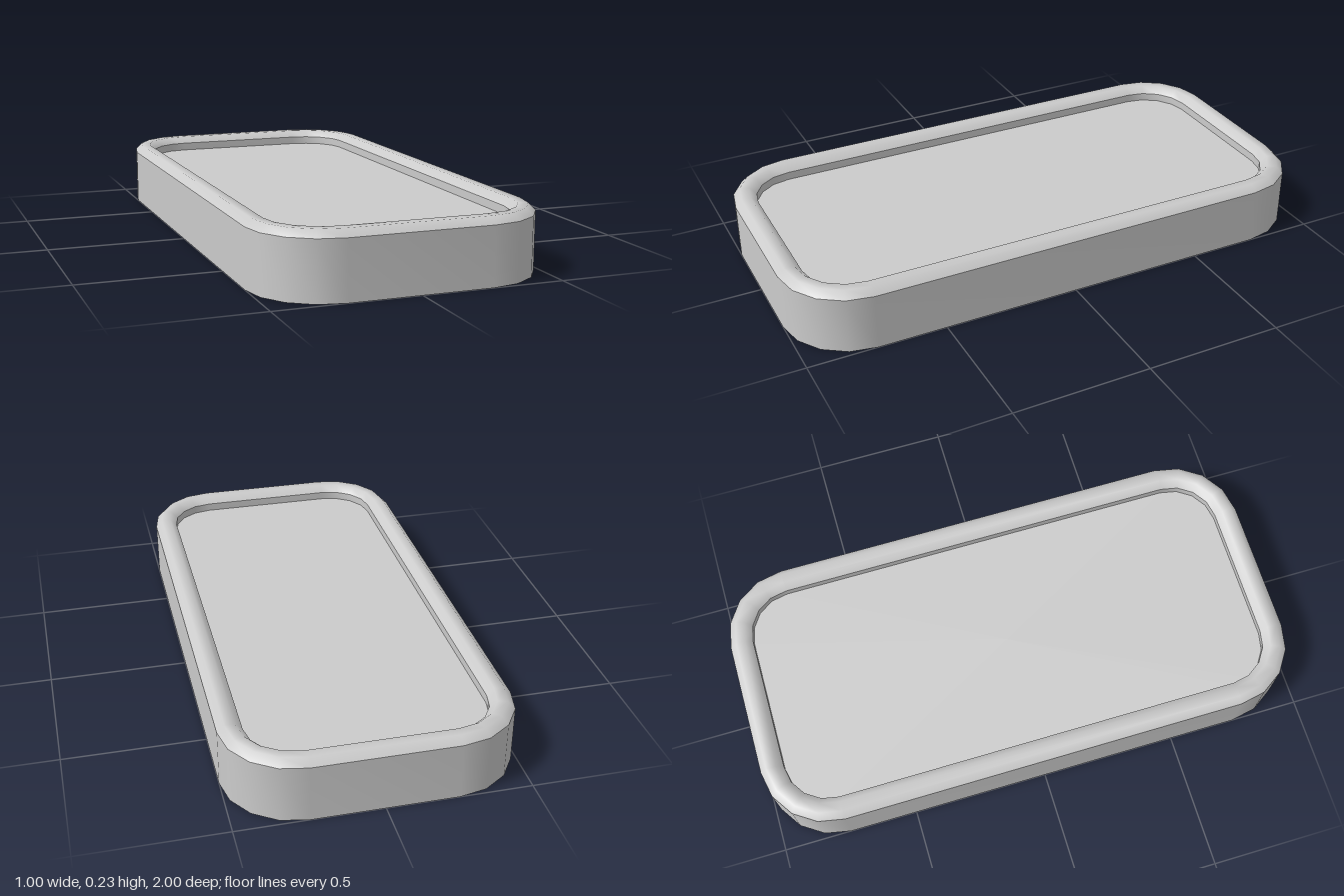
import * as THREE from 'three';

const HALF_X = 0.5, HALF_Z = 1, RADIUS = 0.25, STEPS = 4;
const CENTRE = null; // inset value that collapses a ring to the middle

// Rounded-rectangle ring, inset from the outline, at height y
function ring(inset, y) {
  const points = [];
  for (let corner = 0; corner < 4; corner++) {
    const sx = corner === 0 || corner === 3 ? 1 : -1;
    const sz = corner < 2 ? 1 : -1;
    for (let i = 0; i <= STEPS; i++) {
      const a = (corner + i / STEPS) * Math.PI / 2;
      if (inset === CENTRE) points.push(0, y, 0);
      else points.push(
        sx * (HALF_X - RADIUS) + (RADIUS - inset) * Math.cos(a),
        y,
        sz * (HALF_Z - RADIUS) + (RADIUS - inset) * Math.sin(a));
    }
  }
  return points;
}

// Skin of consecutive [inset, y] rings, smooth within one band
function band(name, profile, material) {
  const n = 4 * (STEPS + 1);
  const positions = profile.flatMap(([inset, y]) => ring(inset, y));
  const index = [];
  for (let k = 0; k < profile.length - 1; k++) {
    for (let j = 0; j < n; j++) {
      const a = k * n + j, d = k * n + (j + 1) % n;
      const b = a + n, c = d + n;
      if (profile[k + 1][0] !== CENTRE) index.push(a, b, c);
      else index.push(a, b, d);
      if (profile[k][0] !== CENTRE && profile[k + 1][0] !== CENTRE) index.push(a, c, d);
    }
  }
  const geometry = new THREE.BufferGeometry();
  geometry.setAttribute('position', new THREE.Float32BufferAttribute(positions, 3));
  geometry.setIndex(index);
  geometry.computeVertexNormals();
  const mesh = new THREE.Mesh(geometry, material);
  mesh.name = name;
  return mesh;
}

export function createModel() {
  const group = new THREE.Group();
  group.name = 'tray';
  const material = new THREE.MeshStandardMaterial({ color: 0xcccccc });

  group.add(
    band('base', [[CENTRE, 0], [0, 0]], material),
    band('outerWall', [[0, 0], [0, 0.205]], material),
    // bevelled rim, shaded as one soft bead
    band('rim', [[0, 0.205], [0.025, 0.23], [0.06, 0.23], [0.085, 0.205]], material),
    band('innerWall', [[0.085, 0.205], [0.085, 0.175]], material),
    band('recessedFloor', [[0.085, 0.175], [CENTRE, 0.175]], material),
  );
  return group;
}
